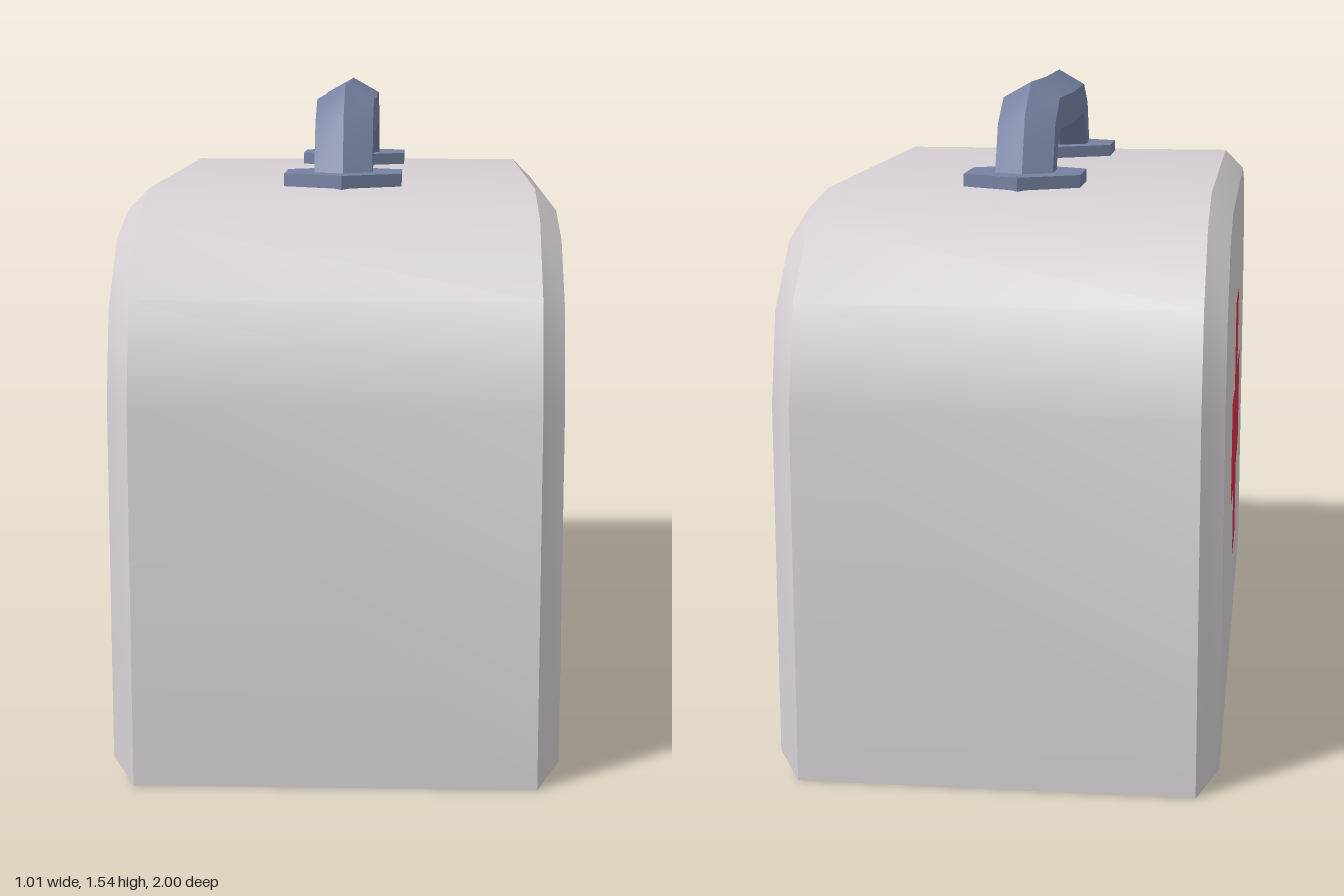
import * as THREE from 'three';
import { toCreasedNormals } from 'three/addons/utils/BufferGeometryUtils.js';

// Skin a row of convex rings (counter-clockwise about the travel direction) and cap both ends.
function loft(rings) {
  const pos = [];
  const tri = (...pts) => pts.forEach((p) => pos.push(p.x, p.y, p.z));
  const n = rings[0].length;
  for (let i = 0; i < rings.length - 1; i++) {
    for (let j = 0; j < n; j++) {
      const k = (j + 1) % n;
      const a = rings[i][j], b = rings[i][k], c = rings[i + 1][k], d = rings[i + 1][j];
      tri(a, b, c);
      tri(a, c, d);
    }
  }
  const first = rings[0], last = rings[rings.length - 1];
  for (let j = 1; j < n - 1; j++) {
    tri(first[0], first[j + 1], first[j]);
    tri(last[0], last[j], last[j + 1]);
  }
  const geo = new THREE.BufferGeometry();
  geo.setAttribute('position', new THREE.Float32BufferAttribute(pos, 3));
  geo.computeVertexNormals();
  return toCreasedNormals(geo, 0.65);
}

export function createModel() {
  const shell = new THREE.MeshStandardMaterial({ name: 'shellGrey', color: 0xd6d0d4 });
  const metal = new THREE.MeshStandardMaterial({ name: 'handleBlue', color: 0x7782a2 });
  const red = new THREE.MeshStandardMaterial({ name: 'crossRed', color: 0xd62f3e });

  const model = new THREE.Group();
  model.name = 'firstAidCase';
  const add = (name, geo, mat) => {
    const mesh = new THREE.Mesh(geo, mat);
    mesh.name = name;
    model.add(mesh);
    return mesh;
  };

  // Case: round-shouldered outline with a chamfer on both broad sides
  const outer = [[0.57, 1.3], [0.78, 1.245], [0.94, 1.085], [1, 0.86], [1, 0]];
  const inner = [[0.56, 1.25], [0.755, 1.2], [0.9, 1.06], [0.95, 0.86], [0.95, 0.05]];
  const outline = (x, half) => [
    ...half.map(([z, y]) => new THREE.Vector3(x, y, z)),
    ...[...half].reverse().map(([z, y]) => new THREE.Vector3(x, y, -z)),
  ];
  add('case', loft([
    outline(-0.5, inner), outline(-0.45, outer), outline(0.45, outer), outline(0.5, inner),
  ]), shell);

  // Handle: six-sided bar; each station is [z, y, outward z, outward y]
  const bend = [[0.43, 1.3, 1, 0], [0.37, 1.42, 0.82, 0.57], [0.29, 1.46, 0.28, 0.96]];
  const stations = [
    ...bend,
    [0, 1.453, 0, 1],
    ...[...bend].reverse().map(([z, y, nz, ny]) => [-z, y, -nz, ny]),
  ];
  add('handle', loft(stations.map(([z, y, nz, ny]) =>
    Array.from({ length: 6 }, (_, i) => {
      const a = (i * Math.PI) / 3;
      const out = 0.08 * Math.cos(a);
      return new THREE.Vector3(0.08 * Math.sin(a), y + ny * out, z + nz * out);
    }))), metal);

  // Hexagonal mounting plates under the handle ends
  for (const s of [1, -1]) {
    const geo = toCreasedNormals(new THREE.CylinderGeometry(0.16, 0.16, 0.04, 6), 0.65);
    add(s > 0 ? 'frontHandlePlate' : 'backHandlePlate', geo, metal).position.set(0, 1.31, s * 0.42);
  }

  // Slightly uneven painted cross on each broad side
  const cross = new THREE.Shape([
    [-0.15, 1], [-0.145, 0.785], [-0.165, 0.76], [-0.25, 0.77], [-0.4, 0.775],
    [-0.4, 0.49], [-0.25, 0.477], [-0.16, 0.48], [-0.145, 0.46], [-0.132, 0.27],
    [0.132, 0.27], [0.15, 0.465], [0.165, 0.48], [0.25, 0.48], [0.395, 0.49],
    [0.4, 0.77], [0.25, 0.773], [0.165, 0.76], [0.145, 0.785], [0.15, 1],
  ].map(([x, y]) => new THREE.Vector2(x, y - 0.64)));
  for (const s of [1, -1]) {
    const mesh = add(s > 0 ? 'leftCross' : 'rightCross', new THREE.ShapeGeometry(cross), red);
    mesh.rotation.y = (s * Math.PI) / 2;
    mesh.position.set(s * 0.503, 0.64, 0);
    if (s < 0) mesh.scale.set(0.95, 0.92, 1);
  }

  return model;
}
